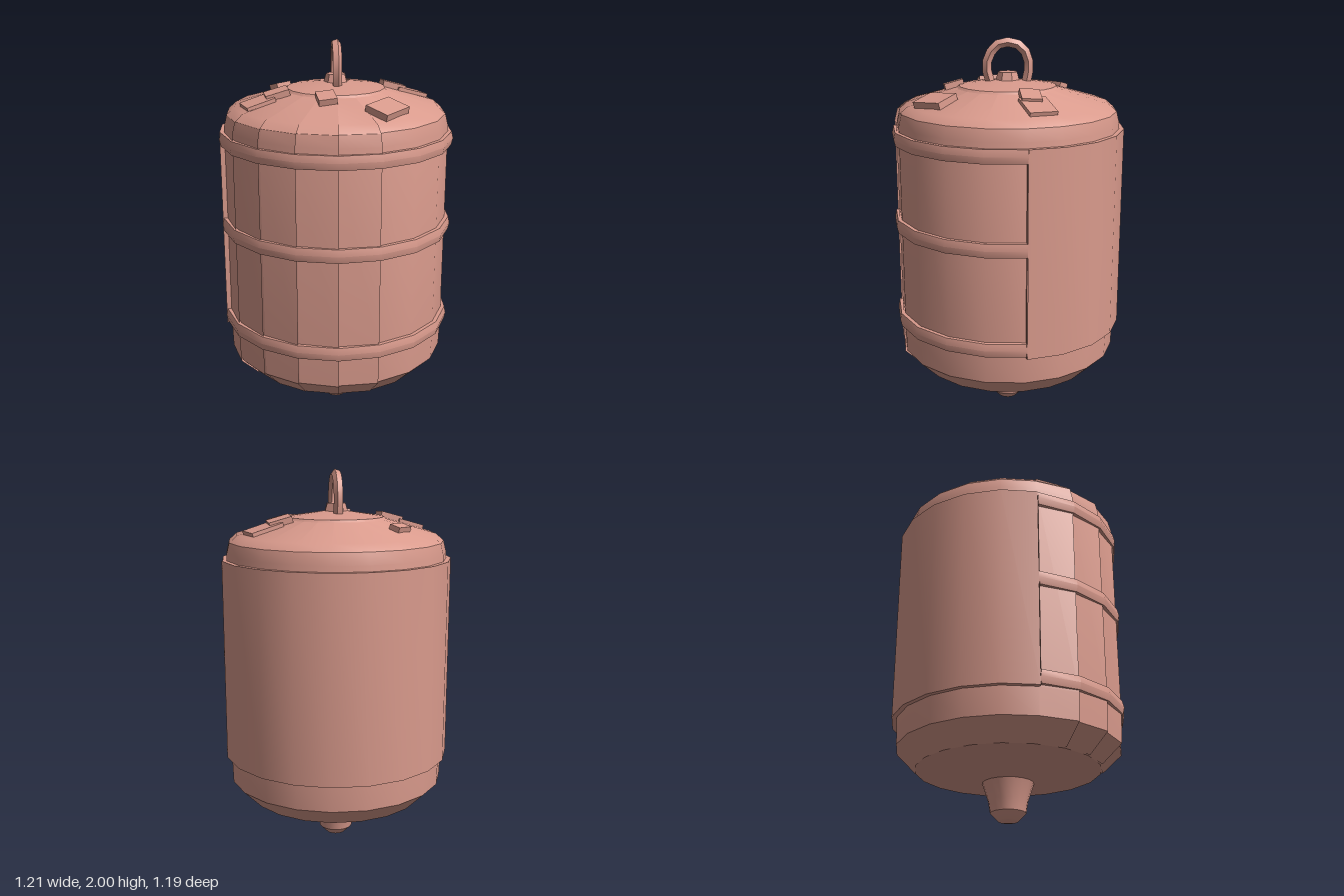
import * as THREE from 'three';
import { mergeGeometries, toCreasedNormals } from 'three/addons/utils/BufferGeometryUtils.js';

const material = new THREE.MeshStandardMaterial({ color: 0xd99a8c, side: THREE.DoubleSide });
const HALF = Math.PI / 2;
const DEG = Math.PI / 180;

const points = (list) => list.map(([r, y]) => new THREE.Vector2(r, y));
const front = (profile) => new THREE.LatheGeometry(points(profile), 9, -HALF, Math.PI);
const back = (profile) => new THREE.LatheGeometry(points(profile), 10, HALF, Math.PI);

export function createModel() {
  const model = new THREE.Group();
  const add = (name, geometry, crease = 0.45) => {
    const mesh = new THREE.Mesh(toCreasedNormals(geometry, crease), material);
    mesh.name = name;
    model.add(mesh);
    return mesh;
  };

  // Barrel with shallow domed top, chamfered base and bottom knob
  const base = [[0, 0], [0.05, 0.01], [0.09, 0.05], [0.1, 0.11], [0.13, 0.2], [0.47, 0.26], [0.57, 0.36]];
  const side = [[0.575, 0.5], [0.575, 1.58], [0.56, 1.64], [0.52, 1.675], [0.26, 1.75]];
  const body = [...base, ...side, [0.25, 1.762], [0.06, 1.79], [0, 1.79]];
  add('barrel', mergeGeometries([front(body), back(body)]), 0.6);

  // Overlapping front staves, each lifted along its trailing edge
  const staveProfile = points([[0.47, 0.262], [0.57, 0.36], ...side]);
  for (let i = 0; i < 5; i++) {
    const geometry = new THREE.LatheGeometry(staveProfile, 1, (-90 + 20 * i) * DEG, 20 * DEG);
    const pos = geometry.attributes.position;
    for (let k = staveProfile.length; k < pos.count; k++) {
      pos.setX(k, pos.getX(k) * 1.02);
      pos.setZ(k, pos.getZ(k) * 1.02);
    }
    add('stave', geometry);
  }

  // Half-round plate wrapping the back
  add('backPlate', back([[0.56, 0.5], [0.6, 0.5], [0.6, 1.55], [0.56, 1.55]]));
  for (const s of [-1, 1]) {
    const edge = add('backPlateEdge', new THREE.PlaneGeometry(0.04, 1.05));
    edge.position.set(s * 0.58, 1.025, 0.003);
  }

  // Three hoops across the front
  for (const y of [0.545, 1.06, 1.515]) {
    add('hoop', front([[0.56, y - 0.035], [0.595, y - 0.035], [0.603, y], [0.595, y + 0.035], [0.56, y + 0.035]]));
  }

  // Loose blocks lying on the dome: x, z, width, depth, height, yaw in degrees
  const blocks = [
    [0.31, -0.06, 0.12, 0.1, 0.05, -2],
    [0.4, -0.08, 0.17, 0.14, 0.025, 10],
    [-0.31, 0.06, 0.12, 0.1, 0.05, 0],
    [-0.41, 0.08, 0.15, 0.14, 0.025, 10],
    [-0.1, 0.265, 0.09, 0.1, 0.05, 0],
    [0.17, 0.385, 0.18, 0.13, 0.05, 40],
    [-0.24, -0.31, 0.1, 0.06, 0.04, 35],
  ];
  const up = new THREE.Vector3(0, 1, 0);
  for (const [x, z, w, d, h, yaw] of blocks) {
    const r = Math.hypot(x, z);
    const block = add('domeBlock', new THREE.BoxGeometry(w, h, d));
    block.position.set(x, 1.755 - (r - 0.26) * 0.29, z);
    const normal = new THREE.Vector3((x / r) * 0.28, 1, (z / r) * 0.28).normalize();
    block.quaternion.setFromUnitVectors(up, normal)
      .multiply(new THREE.Quaternion().setFromAxisAngle(up, yaw * DEG));
  }

  // Top boss and arched handle
  const boss = add('topBoss', new THREE.CylinderGeometry(0.05, 0.065, 0.05, 7));
  boss.position.y = 1.805;
  const path = [[0.09, 1.78], [0.108, 1.86], [0.085, 1.93], [0.04, 1.972], [-0.04, 1.972], [-0.09, 1.93], [-0.108, 1.86], [-0.095, 1.78]];
  const curve = new THREE.CatmullRomCurve3(path.map(([z, y]) => new THREE.Vector3(0, y, z)));
  const handle = add('handle', new THREE.TubeGeometry(curve, 10, 0.025, 5), 0.9);
  handle.rotation.y = -8 * DEG;

  return model;
}
